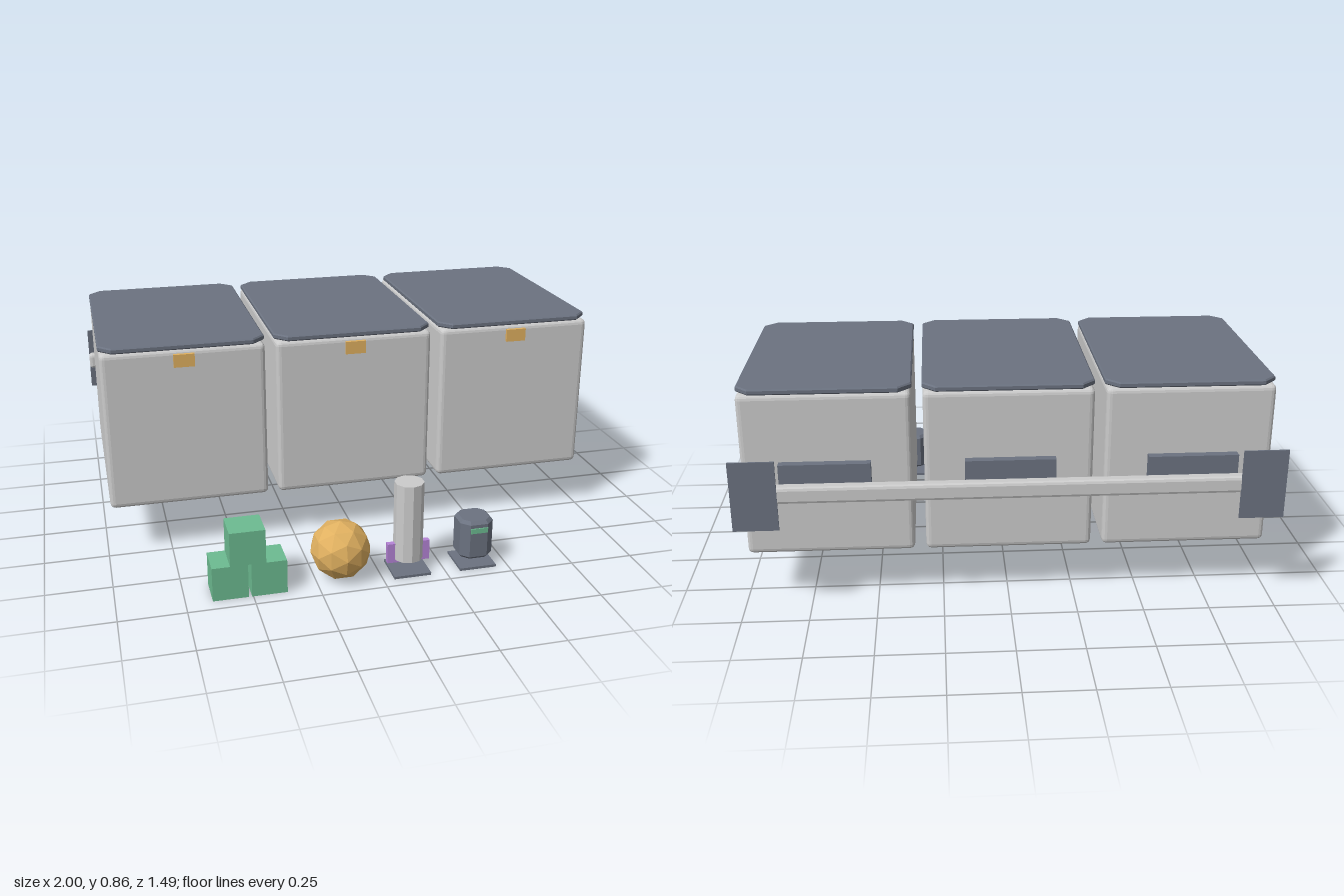
import * as THREE from 'three';
import { RoundedBoxGeometry } from 'three/addons/geometries/RoundedBoxGeometry.js';

const mat = (color) => new THREE.MeshStandardMaterial({ color, flatShading: true });

// Box with cut vertical corners (c) and a single bevel (b) along top and bottom, centred
function chamferBox(w, h, d, c, b) {
  const x = w / 2 - b, z = d / 2 - b;
  const outline = [
    [x, -z + c], [x, z - c], [x - c, z], [-x + c, z],
    [-x, z - c], [-x, -z + c], [-x + c, -z], [x - c, -z],
  ].map(([px, pz]) => new THREE.Vector2(px, pz));
  const geo = new THREE.ExtrudeGeometry(new THREE.Shape(outline), {
    depth: h - 2 * b, bevelEnabled: true, bevelSize: b, bevelThickness: b, bevelSegments: 1,
  });
  geo.translate(0, 0, -(h - 2 * b) / 2);
  geo.rotateX(-Math.PI / 2);
  return geo;
}

export function createModel() {
  const model = new THREE.Group();
  model.name = 'storageBinsAndItems';

  const grey = mat(0xcccccc), slate = mat(0x6b7280), amber = mat(0xe0b060);
  const green = mat(0x6dbb91), purple = mat(0xb583d6);

  const add = (parent, name, geo, material, x, y, z) => {
    const mesh = new THREE.Mesh(geo, material);
    mesh.name = name;
    mesh.position.set(x, y, z);
    parent.add(mesh);
    return mesh;
  };
  const box = (w, h, d) => new THREE.BoxGeometry(w, h, d);
  const group = (name, x, z) => {
    const g = new THREE.Group();
    g.name = name;
    g.position.set(x, 0, z);
    model.add(g);
    return g;
  };

  // Three lidded bins, each with a front latch and a rear mounting pad
  const bodyGeo = new RoundedBoxGeometry(0.625, 0.63, 0.866, 2, 0.02);
  const lidGeo = chamferBox(0.63, 0.022, 0.868, 0.045, 0.005);
  for (const x of [-0.667, 0, 0.667]) {
    const bin = group('bin', x, -0.171);
    add(bin, 'binBody', bodyGeo, grey, 0, 0.52, 0);
    add(bin, 'binLid', lidGeo, slate, 0, 0.846, 0);
    add(bin, 'latch', box(0.08, 0.05, 0.026), amber, 0, 0.795, 0.433);
    add(bin, 'mountingPad', box(0.33, 0.096, 0.032), slate, 0, 0.553, -0.505);
  }

  // Rear rail with an end plate at each side
  const rail = group('rearRail', 0, 0);
  add(rail, 'railBar', new RoundedBoxGeometry(2, 0.064, 0.05, 1, 0.012), grey, 0, 0.503, -0.719);
  for (const s of [-1, 1]) {
    add(rail, 'endPlate', box(0.165, 0.266, 0.006), slate, s * 0.917, 0.505, -0.743);
  }

  // Stacked cubes: two below, one above
  const cubes = group('cubeStack', -0.511, 0.63);
  const cubeGeo = box(0.134, 0.134, 0.13);
  for (const [x, y] of [[-0.073, 0.067], [0.073, 0.067], [-0.005, 0.201]]) {
    add(cubes, 'cube', cubeGeo, green, x, y, 0);
  }

  // Faceted ball
  add(model, 'ball', new THREE.IcosahedronGeometry(0.116, 1), amber, -0.153, 0.12, 0.63);

  // Column with a crossing fin over a base plate
  const baseGeo = box(0.146, 0.01, 0.146);
  const column = group('column', 0.115, 0.63);
  add(column, 'columnBase', baseGeo, slate, 0, 0.005, 0);
  add(column, 'columnShaft', new THREE.CylinderGeometry(0.057, 0.057, 0.318, 10), grey, 0, 0.21, 0);
  add(column, 'columnFin', box(0.168, 0.08, 0.022), purple, 0, 0.077, 0);

  // Small canister with a front strip over a base plate
  const canister = group('canister', 0.379, 0.63);
  add(canister, 'canisterBase', baseGeo, slate, 0, 0.005, 0);
  add(canister, 'canisterBody', chamferBox(0.132, 0.16, 0.132, 0.024, 0.012), slate, 0, 0.118, 0);
  add(canister, 'canisterStrip', box(0.068, 0.02, 0.008), green, 0, 0.162, 0.067);

  return model;
}
